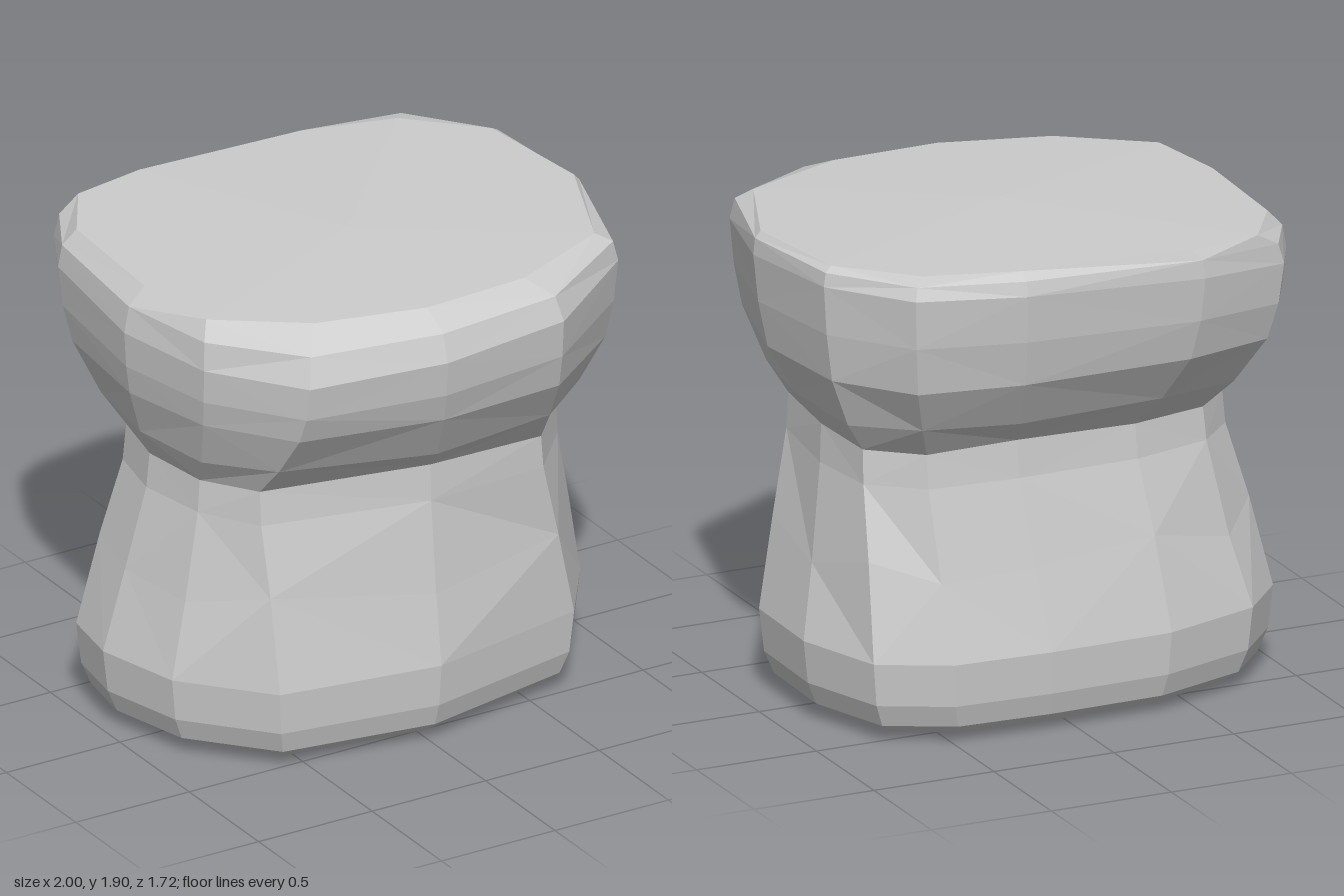
import * as THREE from 'three';

// Plan outlines as [x, z], 13 corners each: left side, back, right side, front
const BASE = [[-1, -0.12], [-0.96, -0.38], [-0.78, -0.58], [-0.38, -0.71], [0.12, -0.72], [0.52, -0.7], [0.79, -0.56],
  [0.91, -0.2], [0.9, 0.21], [0.69, 0.51], [0.02, 0.65], [-0.63, 0.55], [-0.91, 0.23]];
const WAIST = [[-0.82, -0.08], [-0.77, -0.33], [-0.62, -0.48], [-0.3, -0.56], [0.2, -0.57], [0.56, -0.54], [0.75, -0.38],
  [0.78, -0.08], [0.72, 0.33], [0.52, 0.55], [0.02, 0.57], [-0.64, 0.42], [-0.77, 0.2]];
const HEAD = [[-0.98, 0], [-0.93, -0.56], [-0.82, -0.77], [-0.45, -0.86], [0.29, -0.86], [0.72, -0.78], [0.95, -0.46],
  [1, 0.05], [0.86, 0.55], [0.45, 0.83], [-0.08, 0.86], [-0.62, 0.75], [-0.88, 0.41]];
const RIM = [[-0.89, 0], [-0.86, -0.54], [-0.7, -0.79], [-0.4, -0.84], [0.29, -0.8], [0.65, -0.7], [0.91, -0.44],
  [0.97, 0.05], [0.78, 0.51], [0.36, 0.69], [-0.08, 0.71], [-0.51, 0.6], [-0.84, 0.36]];
const N = BASE.length;

// Ring between two outlines; height may depend on x, z and corner number
function ring(a, b, t, height) {
  return a.map(([x, z], i) => {
    const px = x + (b[i][0] - x) * t, pz = z + (b[i][1] - z) * t;
    return [px, typeof height === 'function' ? height(px, pz, i) : height, pz];
  });
}

// Level ring: base outline shrunk towards its middle
const footRing = (s, y) => BASE.map(([x, z]) => [-0.04 + (x + 0.04) * s, y, -0.04 + (z + 0.04) * s]);

// Loft through the rings, alternating the diagonals for a chiselled look
function loft(rings, capBottom, capTop) {
  const pos = [];
  const tri = (a, b, c) => pos.push(...a, ...b, ...c);
  for (let r = 0; r < rings.length - 1; r++) {
    for (let i = 0; i < N; i++) {
      const j = (i + 1) % N;
      const a = rings[r][i], b = rings[r][j], c = rings[r + 1][j], d = rings[r + 1][i];
      if ((i + r) % 2) { tri(a, d, b); tri(b, d, c); }
      else { tri(a, d, c); tri(a, c, b); }
    }
  }
  const first = rings[0], last = rings[rings.length - 1];
  for (let i = 0; i < N; i++) {
    const j = (i + 1) % N;
    if (capBottom) tri(capBottom, first[i], first[j]);
    if (capTop) tri(capTop, last[j], last[i]);
  }
  const geo = new THREE.BufferGeometry();
  geo.setAttribute('position', new THREE.Float32BufferAttribute(pos, 3));
  geo.computeVertexNormals();
  return geo;
}

export function createModel() {
  const group = new THREE.Group();
  group.name = 'stoneStool';
  const material = new THREE.MeshStandardMaterial({ color: 0xcccccc, flatShading: true });
  const add = (name, geometry) => {
    const mesh = new THREE.Mesh(geometry, material);
    mesh.name = name;
    group.add(mesh);
  };

  const waist = ring(WAIST, WAIST, 0, (x, z, i) => 1.13 + 0.01 * Math.sin(i * 2));

  // Pedestal: rounded foot tapering to the waist
  add('pedestal', loft([
    footRing(0.7, 0.003),
    footRing(0.86, 0.025),
    footRing(0.94, 0.07),
    footRing(0.98, 0.16),
    ring(BASE, WAIST, 0, 0.33),
    ring(BASE, WAIST, 0.47, (x, z, i) => 0.66 + 0.05 * Math.sin(i * 2.4)),
    ring(BASE, WAIST, 0.93, 0.99),
    waist,
  ], [-0.04, 0, -0.04], null));

  // Seat: flares out from the waist to a slanted shoulder, then a lip and a flat top
  add('seat', loft([
    waist,
    ring(WAIST, HEAD, 0.38, (x, z, i) => 1.25 + 0.012 * Math.sin(i * 3)),
    ring(WAIST, HEAD, 0.79, 1.44),
    ring(WAIST, HEAD, 0.93, (x, z) => 1.59 + 0.03 * x - 0.03 * z),
    ring(HEAD, HEAD, 0, (x, z) => 1.755 + 0.05 * x - 0.05 * z),
    ring(HEAD, RIM, 0.22, (x, z) => 1.84 + 0.03 * x - 0.025 * z),
    ring(RIM, RIM, 0, (x, z) => 1.887 + 0.008 * x - 0.01 * z),
  ], null, [0, 1.9, 0]));

  return group;
}
